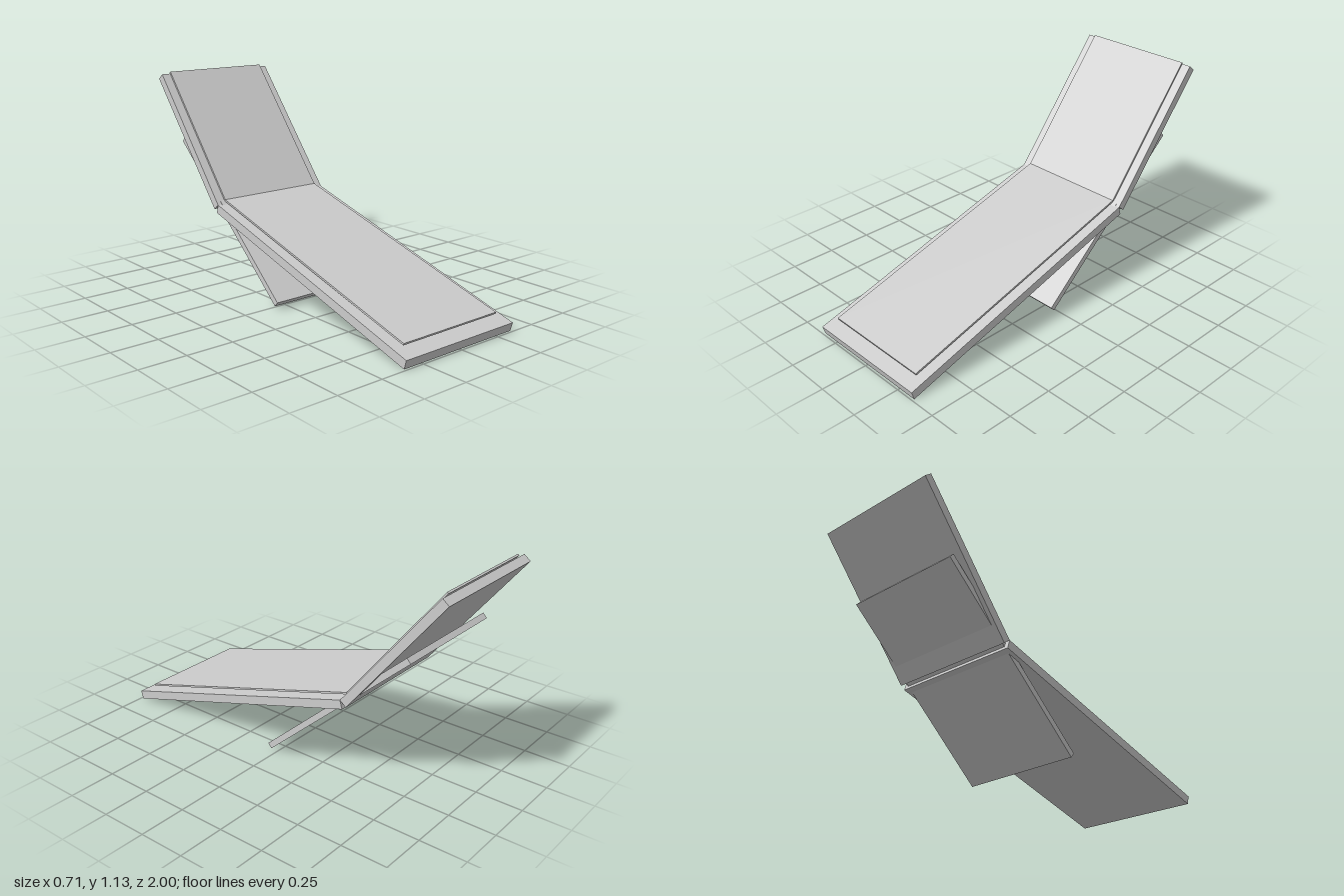
import * as THREE from 'three';

export function createModel() {
  const group = new THREE.Group();
  group.name = 'loungeChair';
  const paleGrey = new THREE.MeshStandardMaterial({ color: 0xcccccc });
  paleGrey.name = 'paleGrey';

  // Flat board whose upper face runs from (z0, y0) back to (z1, y1)
  function board(name, [z0, y0], [z1, y1], thickness, width) {
    const dz = z1 - z0, dy = y1 - y0;
    const length = Math.hypot(dz, dy);
    const mesh = new THREE.Mesh(new THREE.BoxGeometry(width, thickness, length), paleGrey);
    mesh.name = name;
    mesh.rotation.x = Math.atan2(dy, -dz);
    // Sink by half the thickness, perpendicular to the upper face
    mesh.position.set(
      0,
      (y0 + y1) / 2 + (dz / length) * thickness / 2,
      (z0 + z1) / 2 - (dy / length) * thickness / 2
    );
    group.add(mesh);
  }

  // Main panels
  board('seat', [1.0, 0.045], [-0.436, 0.463], 0.047, 0.714);
  board('backrest', [-0.436, 0.463], [-0.965, 1.115], 0.045, 0.714);

  // Thin pads raised over the panels
  board('seatPad', [0.934, 0.091], [-0.438, 0.485], 0.01, 0.618);
  board('backrestPad', [-0.438, 0.485], [-0.956, 1.127], 0.01, 0.618);

  // Slanted leg that crosses the hinge and props the backrest
  board('supportLeg', [0.047, 0.04], [-0.787, 0.779], 0.032, 0.666);

  return group;
}
